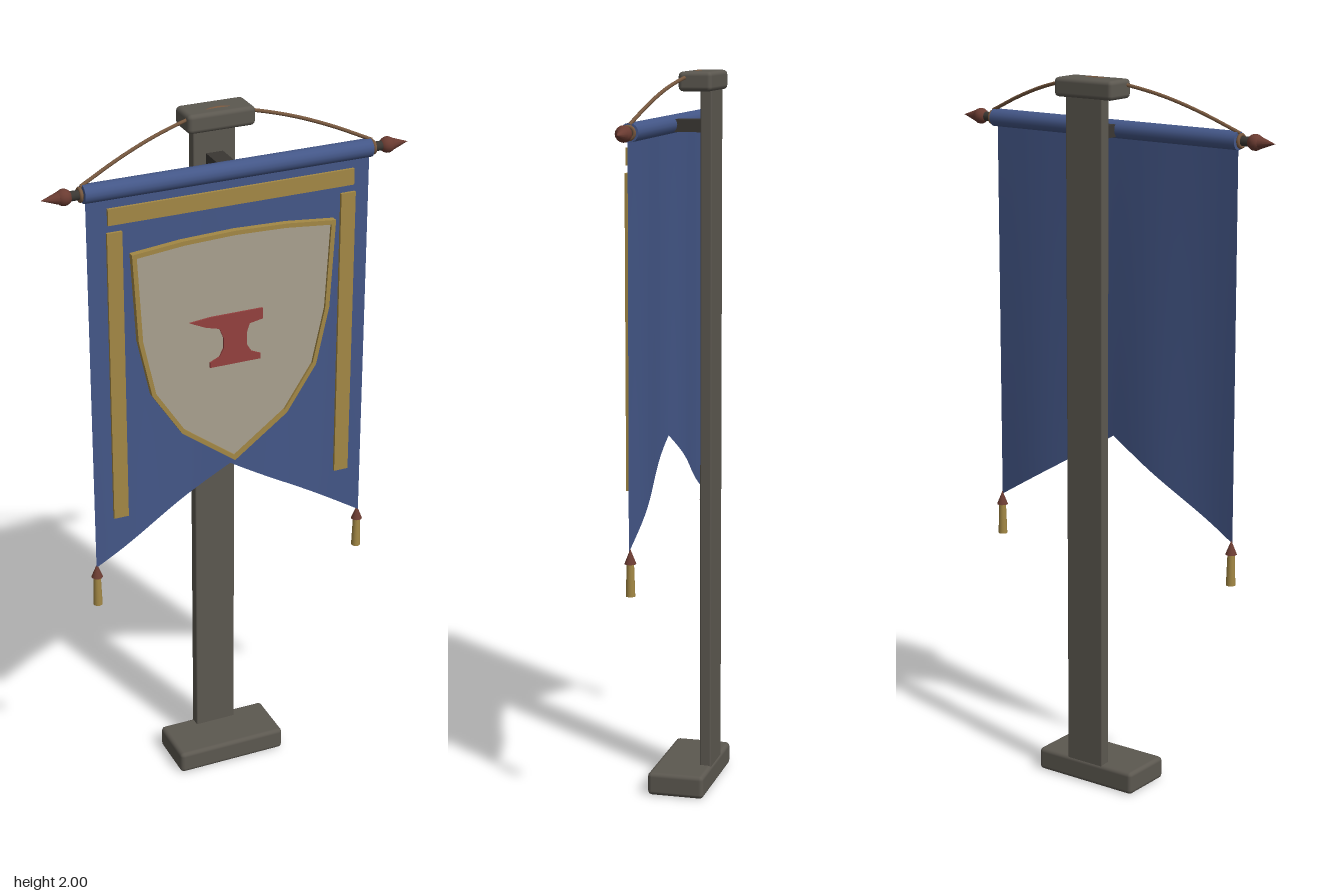
import * as THREE from 'three';
import { RoundedBoxGeometry } from 'three/addons/geometries/RoundedBoxGeometry.js';

const paint = (name, color, side = THREE.FrontSide) => {
  const m = new THREE.MeshStandardMaterial({ color, side });
  m.name = name;
  return m;
};

export function createModel() {
  const root = new THREE.Group();
  root.name = 'hangingBanner';

  const stone = paint('stone grey', 0x5c5850);
  const iron = paint('dark iron', 0x3a3733);
  const blue = paint('blue cloth', 0x445788, THREE.DoubleSide);
  const gold = paint('gold trim', 0xa38845);
  const cream = paint('cream field', 0xaaa18f);
  const red = paint('red emblem', 0x94403e);
  const copper = paint('red brown wood', 0x6b3c32);
  const rope = paint('rope brown', 0x77583f);

  const add = (name, geo, mat, x = 0, y = 0, z = 0, parent = root) => {
    const m = new THREE.Mesh(geo, mat);
    m.name = name;
    m.position.set(x, y, z);
    parent.add(m);
    return m;
  };
  const shapeOf = pts => new THREE.Shape(pts.map(p => new THREE.Vector2(p[0], p[1])));
  const extrude = (shape, depth) => new THREE.ExtrudeGeometry(shape, { depth, bevelEnabled: false });

  // Stand: foot, post, cap and the arm that carries the rod
  add('foot', new RoundedBoxGeometry(0.325, 0.065, 0.16, 2, 0.012), stone, 0, 0.0375 - 0.005, -0.005);
  add('post', new RoundedBoxGeometry(0.12, 1.91, 0.032, 2, 0.004), stone, 0, 1.005, -0.066);
  add('cap', new RoundedBoxGeometry(0.19, 0.052, 0.092, 2, 0.012), stone, 0, 1.97, -0.043);
  add('arm', new THREE.BoxGeometry(0.048, 0.034, 0.1), iron, 0, 1.85, -0.014);

  // Rod with its cloth sleeve
  const rodY = 1.852, rodZ = 0.048;
  add('rod', new THREE.CylinderGeometry(0.013, 0.013, 0.9, 16), iron, 0, rodY, rodZ).rotation.z = Math.PI / 2;
  add('sleeve', new THREE.CylinderGeometry(0.025, 0.025, 0.81, 16), blue, 0, rodY, rodZ).rotation.z = Math.PI / 2;

  // Finials and tassels on both sides
  for (const s of [-1, 1]) {
    const finial = new THREE.Group();
    finial.name = s > 0 ? 'leftFinial' : 'rightFinial';
    finial.position.set(s * 0.455, rodY, rodZ);
    finial.rotation.z = -s * Math.PI / 2;
    add('ball', new THREE.SphereGeometry(0.022, 16, 12), copper, 0, 0, 0, finial);
    add('spike', new THREE.ConeGeometry(0.018, 0.05, 12), copper, 0, 0.036, 0, finial);
    root.add(finial);

    const tassel = new THREE.Group();
    tassel.name = s > 0 ? 'leftTassel' : 'rightTassel';
    tassel.position.set(s * 0.398, 0, 0.052);
    add('knot', new THREE.ConeGeometry(0.016, 0.04, 12), copper, 0, 0.745, 0, tassel);
    add('fringe', new THREE.CylinderGeometry(0.01, 0.013, 0.09, 12), gold, 0, 0.682, 0, tassel);
    root.add(tassel);
  }

  // Cord running from rod end to rod end through the cap
  const half = [[0.41, 1.872, 0.046], [0.3, 1.92, 0.025], [0.2, 1.955, 0.006], [0.1, 1.979, -0.014]];
  const cord = [
    ...half.map(([x, y, z]) => new THREE.Vector3(-x, y, z)),
    new THREE.Vector3(0, 1.994, -0.032),
    ...half.slice().reverse().map(p => new THREE.Vector3(...p)),
  ];
  add('cord', new THREE.TubeGeometry(new THREE.CatmullRomCurve3(cord), 48, 0.005, 8), rope);
  for (const s of [-1, 1]) {
    add('cordLoop', new THREE.TorusGeometry(0.016, 0.005, 8, 16), rope, s * 0.412, rodY, rodZ).rotation.y = Math.PI / 2;
  }

  // Swallowtail cloth with soft vertical folds that deepen downwards
  const cloth = new THREE.PlaneGeometry(0.8, 1, 32, 16);
  const pos = cloth.attributes.position;
  for (let i = 0; i < pos.count; i++) {
    const x = pos.getX(i), t = 0.5 - pos.getY(i);
    const hem = 0.995 - 0.6 * Math.abs(x);
    pos.setY(i, THREE.MathUtils.lerp(1.85, hem, t));
    pos.setZ(i, 0.052 + 0.006 * Math.sin(x * 16 + 0.5) * (0.35 + 0.65 * t));
  }
  cloth.computeVertexNormals();
  add('cloth', cloth, blue);

  // Gold border strips
  add('topStrip', new THREE.BoxGeometry(0.695, 0.045, 0.008), gold, 0, 1.788, 0.07);
  for (const s of [-1, 1]) {
    add('sideStrip', new THREE.BoxGeometry(0.042, 0.835, 0.008), gold, s * 0.331, 1.328, 0.072);
  }

  // Shield: cream plate inside a raised gold rim
  const side = [[0.29, 1.68], [0.276, 1.43], [0.24, 1.265], [0.155, 1.135]];
  const outline = [
    [0, 1.02],
    ...side.slice().reverse(),
    [0.15, 1.694], [0, 1.699], [-0.15, 1.694],
    ...side.map(([x, y]) => [-x, y]),
  ];
  const inset = outline.map(([x, y]) => [x * 0.955, 1.4 + (y - 1.4) * 0.96]);
  const rim = shapeOf(outline);
  rim.holes.push(shapeOf(inset));
  add('shieldRim', extrude(rim, 0.018), gold, 0, 0, 0.07);
  add('shieldField', extrude(shapeOf(inset), 0.008), cream, 0, 0, 0.073);

  // Anvil emblem
  const anvil = [
    [-0.13, 1.457], [-0.085, 1.436], [-0.045, 1.425], [-0.033, 1.395], [-0.033, 1.365], [-0.045, 1.342],
    [-0.072, 1.33], [-0.072, 1.315], [0.075, 1.315], [0.075, 1.33], [0.048, 1.342], [0.034, 1.365],
    [0.034, 1.4], [0.042, 1.425], [0.08, 1.432], [0.08, 1.463], [-0.07, 1.463],
  ];
  add('anvilEmblem', extrude(shapeOf(anvil), 0.005), red, 0, 0, 0.081);

  return root;
}
